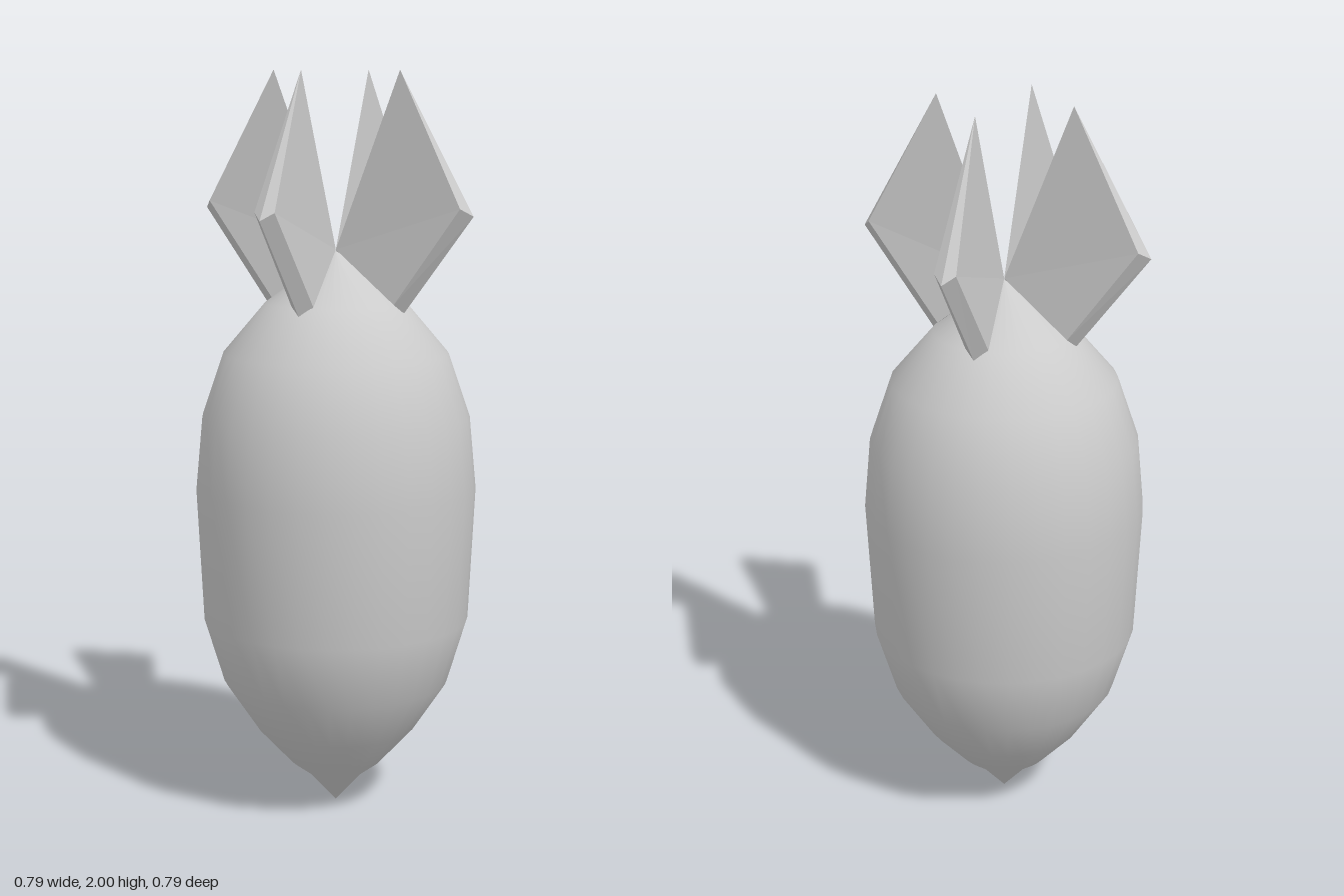
import * as THREE from 'three';

// Leaf-like fin: a bent diamond with a ridged outer edge, starting at the axis
function finGeometry() {
  const A = [0, 1.53, 0];            // inner root
  const T = [0.185, 2.0, -0.03];     // top tip
  const O = [[0.375, 1.65, -0.03], [0.395, 1.63, -0.063], [0.365, 1.65, -0.087]]; // outer corner
  const B = [[0.19, 1.395, 0], [0.2, 1.37, -0.032], [0.172, 1.395, -0.058]];      // lower corner
  const pos = [];
  const tri = (...p) => pos.push(...p.flat());
  const quad = (a, b, c, d) => { tri(a, b, c); tri(a, c, d); };
  quad(A, B[0], O[0], T);            // two broad sides
  quad(A, T, O[2], B[2]);
  for (let i = 0; i < 2; i++) {
    quad(B[i], B[i + 1], O[i + 1], O[i]); // ridged outer edge
    tri(O[i], O[i + 1], T);               // taper to the tip
    tri(A, B[i + 1], B[i]);               // taper to the root
  }
  const geo = new THREE.BufferGeometry();
  geo.setAttribute('position', new THREE.Float32BufferAttribute(pos, 3));
  geo.computeVertexNormals();
  return geo;
}

export function createModel() {
  const group = new THREE.Group();
  const smooth = new THREE.MeshStandardMaterial({ color: 0xcccccc });
  const flat = new THREE.MeshStandardMaterial({ color: 0xcccccc, flatShading: true });

  // Rounded body tapering to a point at the bottom
  const profile = [
    [0, 0], [0.075, 0.083], [0.125, 0.12], [0.217, 0.22], [0.307, 0.355], [0.36, 0.53],
    [0.378, 0.89], [0.36, 1.085], [0.302, 1.255], [0.188, 1.39], [0, 1.527],
  ].map(([r, y]) => new THREE.Vector2(r, y));
  const body = new THREE.Mesh(new THREE.LatheGeometry(profile, 32), smooth);
  body.name = 'body';
  group.add(body);

  // Four fins around the top
  const geo = finGeometry();
  for (let i = 0; i < 4; i++) {
    const fin = new THREE.Mesh(geo, flat);
    fin.name = 'fin' + (i + 1);
    fin.rotation.y = i * Math.PI / 2;
    group.add(fin);
  }
  return group;
}
